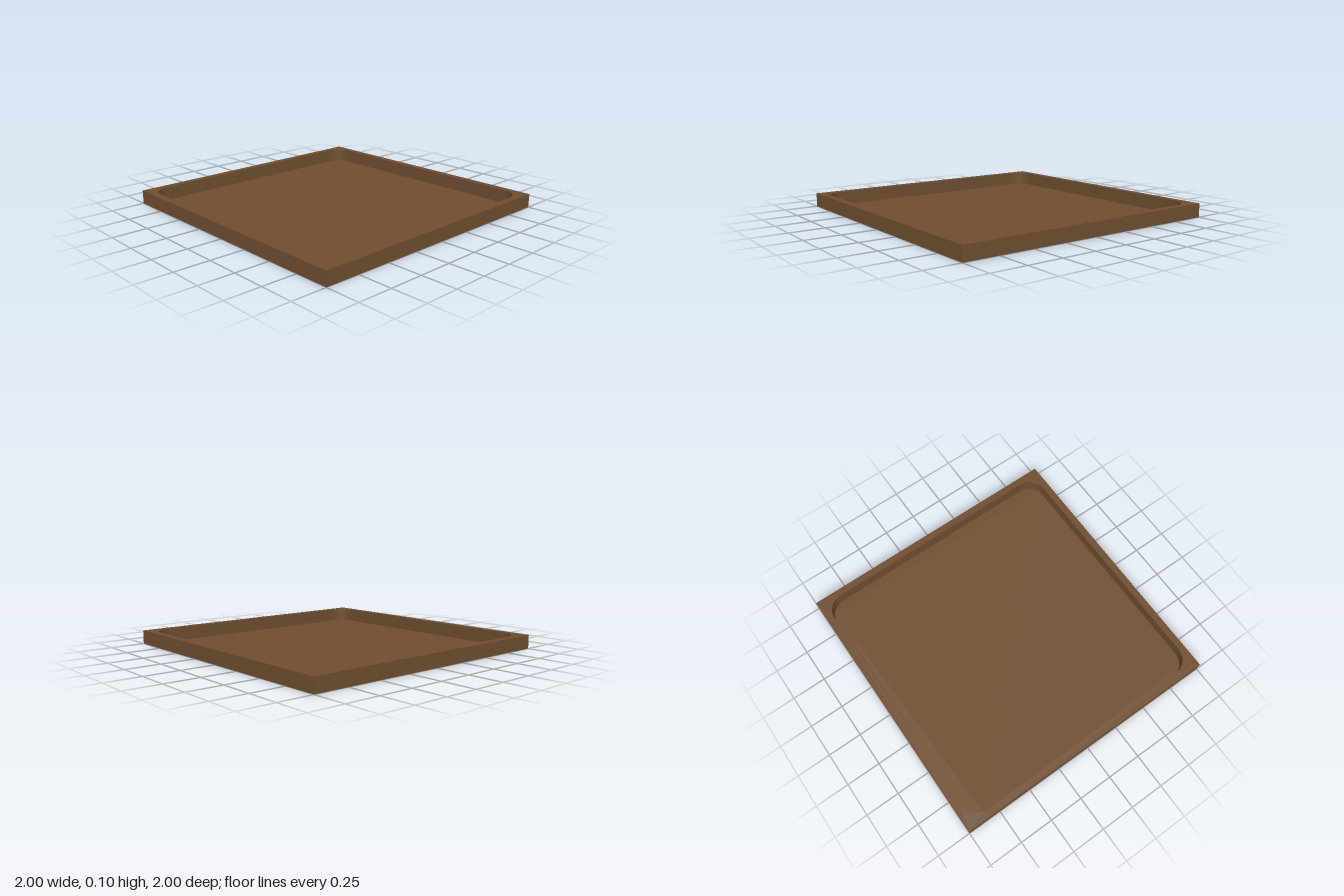
import * as THREE from 'three';
import { toCreasedNormals } from 'three/addons/utils/BufferGeometryUtils.js';

const HEIGHT = 0.1, INNER = 0.95, RADIUS = 0.13, STEPS = 12;

// Trace the rounded square opening on a shape or path
function roundedSquare(path, h, r) {
  const c = h - r;
  for (let i = 0; i < 4; i++) {
    const a = i * Math.PI / 2;
    const sx = i === 0 || i === 3 ? 1 : -1, sy = i < 2 ? 1 : -1;
    path.absarc(sx * c, sy * c, r, a, a + Math.PI / 2, false);
  }
  path.closePath();
  return path;
}

// Vertical ribbon following the opening, facing inwards
function innerWallGeometry() {
  const pos = [], nor = [], index = [], c = INNER - RADIUS;
  for (let i = 0; i < 4; i++) {
    const sx = i === 0 || i === 3 ? 1 : -1, sz = i < 2 ? 1 : -1;
    for (let j = 0; j <= STEPS; j++) {
      const a = (i + j / STEPS) * Math.PI / 2, ca = Math.cos(a), sa = Math.sin(a);
      for (const y of [0, HEIGHT]) {
        pos.push(sx * c + RADIUS * ca, y, sz * c + RADIUS * sa);
        nor.push(-ca, 0, -sa);
      }
    }
  }
  const n = pos.length / 6;
  for (let k = 0; k < n; k++) {
    const a = 2 * k, b = 2 * ((k + 1) % n);
    index.push(a, b, a + 1, b, b + 1, a + 1);
  }
  const g = new THREE.BufferGeometry();
  g.setAttribute('position', new THREE.Float32BufferAttribute(pos, 3));
  g.setAttribute('normal', new THREE.Float32BufferAttribute(nor, 3));
  g.setIndex(index);
  return g;
}

export function createModel() {
  const tray = new THREE.Group();
  tray.name = 'tray';
  const wood = new THREE.MeshStandardMaterial({ color: 0x6f4e31, side: THREE.DoubleSide });
  const add = (name, geometry) => {
    const mesh = new THREE.Mesh(geometry, wood);
    mesh.name = name;
    tray.add(mesh);
  };

  // Square outer wall, open above and below
  const outer = new THREE.CylinderGeometry(Math.SQRT2, Math.SQRT2, HEIGHT, 4, 1, true);
  outer.rotateY(Math.PI / 4).translate(0, HEIGHT / 2, 0);
  add('outerWall', toCreasedNormals(outer, 0.5));

  // Flat top rim with the rounded opening
  const rim = new THREE.Shape([[-1, -1], [1, -1], [1, 1], [-1, 1]].map(p => new THREE.Vector2(...p)));
  rim.holes.push(roundedSquare(new THREE.Path(), INNER, RADIUS));
  add('rim', new THREE.ShapeGeometry(rim, STEPS).rotateX(-Math.PI / 2).translate(0, HEIGHT, 0));

  // Recess wall and floor; the strip beneath the rim stays hollow
  add('innerWall', innerWallGeometry());
  const floor = roundedSquare(new THREE.Shape(), INNER, RADIUS);
  add('floor', new THREE.ShapeGeometry(floor, STEPS).rotateX(-Math.PI / 2));

  return tray;
}
